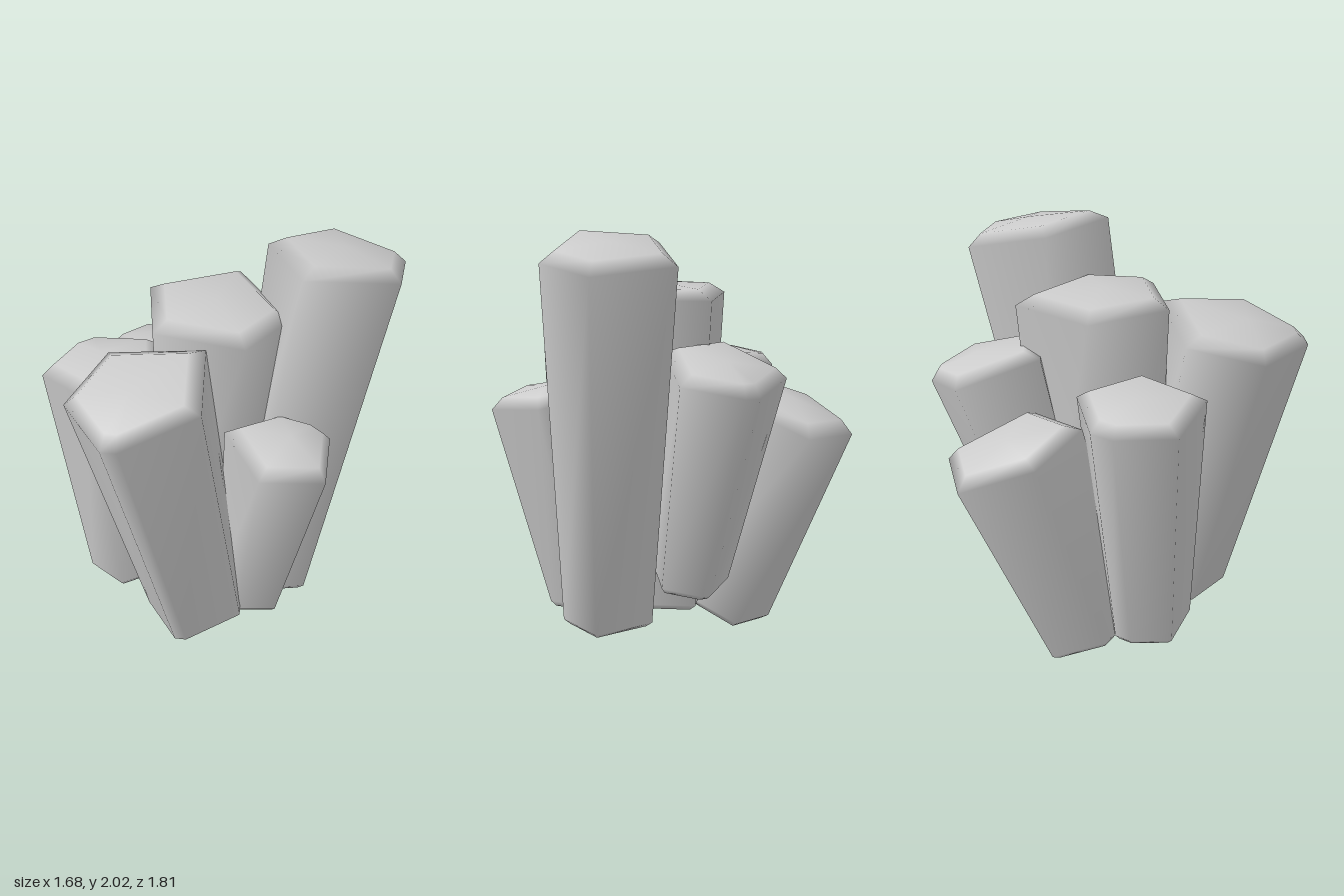
import * as THREE from 'three';

// Each column: rim outline as [x, z] corners, rim height, foot centre and foot scale
const COLUMNS = [
  { name: 'frontColumn', top: 1.56, foot: [0.0, 0.15, 0.345], scale: 0.75,
    rim: [[0.14, 0.65], [-0.17, 0.9], [-0.25, 0.9], [-0.53, 0.62], [-0.44, 0.26], [0.03, 0.22]] },
  { name: 'centreColumn', top: 1.69, foot: [-0.04, 0.16, -0.04], scale: 0.75,
    rim: [[0.35, -0.11], [0.22, 0.22], [-0.23, 0.22], [-0.38, -0.19], [0.0, -0.49]] },
  { name: 'tallColumn', top: 1.9, foot: [0.29, 0.13, -0.06], scale: 0.71,
    rim: [[0.84, -0.26], [0.43, 0.02], [0.18, -0.32], [0.4, -0.69], [0.81, -0.57]] },
  { name: 'backColumn', top: 1.35, foot: [-0.01, 0.3, -0.345], scale: 0.66,
    rim: [[0.37, -0.67], [0.18, -0.35], [-0.16, -0.39], [-0.19, -0.8], [0.1, -0.91], [0.17, -0.89]] },
  { name: 'backLeftColumn', top: 1.12, foot: [-0.39, 0.09, -0.2], scale: 0.74,
    rim: [[-0.18, -0.42], [-0.5, -0.23], [-0.71, -0.47], [-0.65, -0.82], [-0.3, -0.85]] },
  { name: 'leftColumn', top: 1.33, foot: [-0.45, 0.14, 0.075], scale: 0.7,
    rim: [[-0.24, 0.1], [-0.53, 0.35], [-0.84, 0.16], [-0.79, -0.13], [-0.71, -0.22], [-0.36, -0.24]] },
  { name: 'smallFrontColumn', top: 1.18, foot: [0.27, 0.16, 0.145], scale: 0.62,
    rim: [[0.66, 0.38], [0.37, 0.51], [0.13, 0.25], [0.33, 0.04], [0.52, 0.03], [0.61, 0.07]] },
];

function columnGeometry({ rim, top, foot, scale }) {
  const m = rim.length;
  const cx = rim.reduce((s, p) => s + p[0], 0) / m;
  const cz = rim.reduce((s, p) => s + p[1], 0) / m;
  // Cross-sections lie square to the leaning axis
  const rise = top - foot[1];
  const slopeX = (cx - foot[0]) / rise, slopeZ = (cz - foot[2]) / rise;
  const footAt = new THREE.Vector3(...foot), topAt = new THREE.Vector3(cx, top, cz);
  // Foot point, foot bevel, foot, rim, rim bevel, peak: centre, outline scale, lift
  const sections = [
    [footAt, 0, -0.03], [footAt, scale * 0.87, -0.03], [footAt, scale, 0],
    [topAt, 1, 0], [topAt, 0.78, 0.05], [topAt, 0, 0.07],
  ];
  const positions = [], index = [];
  for (const [c, s, lift] of sections) {
    for (const [x, z] of rim) {
      const dx = (x - cx) * s, dz = (z - cz) * s;
      positions.push(
        c.x + dx + slopeX * lift,
        c.y + lift - slopeX * dx - slopeZ * dz,
        c.z + dz + slopeZ * lift);
    }
  }
  // The first and last sections are points, so they take one triangle per side
  const last = sections.length - 2;
  for (let r = 0; r <= last; r++) {
    for (let i = 0; i < m; i++) {
      const a = r * m + i, b = r * m + (i + 1) % m;
      if (r > 0) index.push(a, a + m, b);
      if (r < last) index.push(b, a + m, b + m);
    }
  }
  // Point sections share one vertex for an even normal
  const lastRing = (last + 1) * m;
  const shared = index.map((v) => (v < m ? 0 : v >= lastRing ? lastRing : v));
  const geometry = new THREE.BufferGeometry();
  geometry.setAttribute('position', new THREE.Float32BufferAttribute(positions, 3));
  geometry.setIndex(shared);
  geometry.computeVertexNormals();
  return geometry;
}

export function createModel() {
  const group = new THREE.Group();
  group.name = 'crystalCluster';
  const material = new THREE.MeshStandardMaterial({ color: 0xcccccc });
  for (const column of COLUMNS) {
    const mesh = new THREE.Mesh(columnGeometry(column), material);
    mesh.name = column.name;
    group.add(mesh);
  }
  return group;
}
